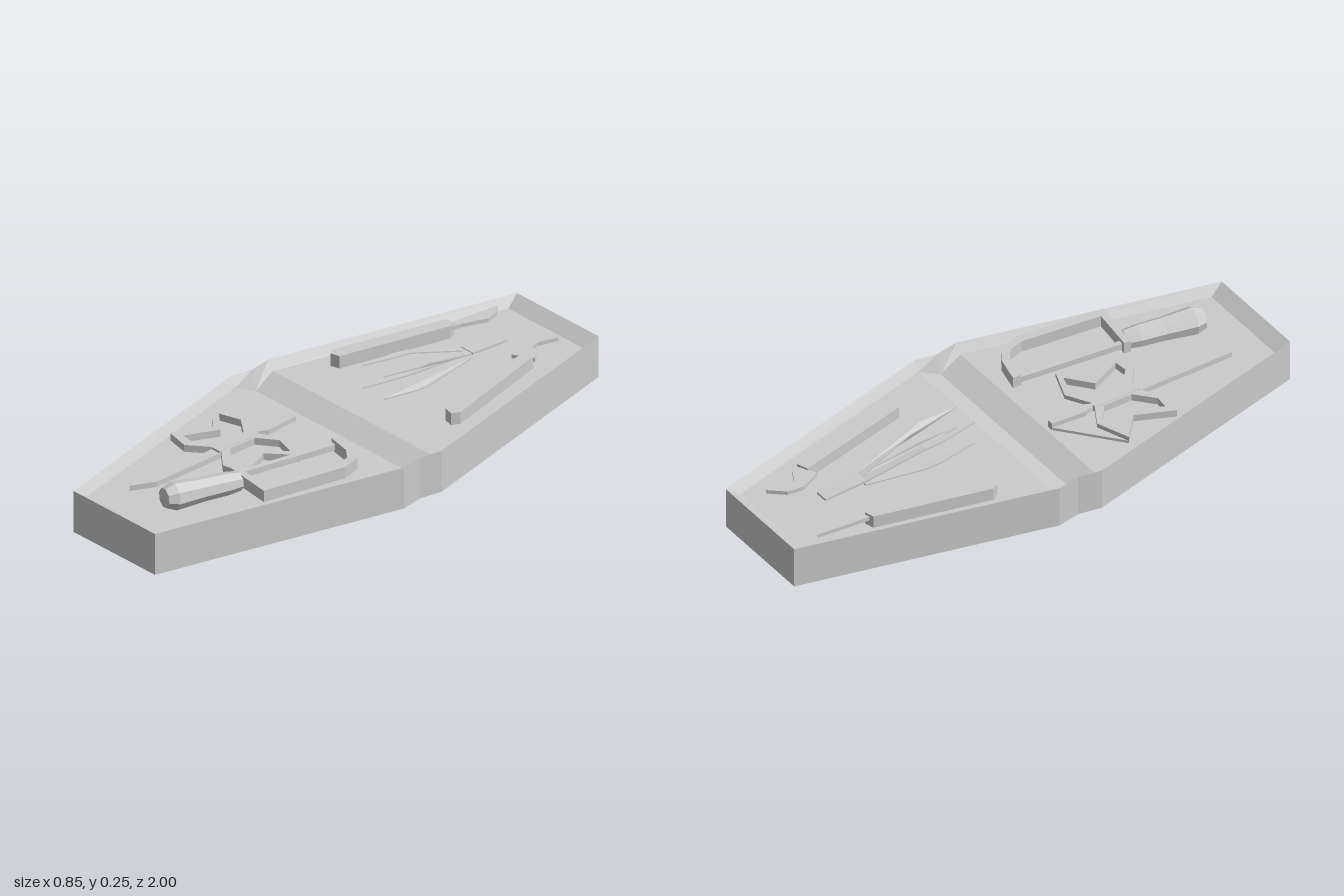
import * as THREE from 'three';

const material = new THREE.MeshStandardMaterial({ color: 0xcccccc, flatShading: true, side: THREE.DoubleSide });
const FLOOR = 0.12;

function addMesh(parent, name, geometry) {
  const mesh = new THREE.Mesh(geometry, material);
  mesh.name = name;
  parent.add(mesh);
  return mesh;
}

// Upright prism over an outline of [x, z] points; lift(z) bends it upwards
function prism(parent, name, points, y, height, { hole, lift } = {}) {
  const toVectors = (list) => list.map(([x, z]) => new THREE.Vector2(x, -z));
  const shape = new THREE.Shape(toVectors(points));
  if (hole) shape.holes.push(new THREE.Path(toVectors(hole)));
  const geometry = new THREE.ExtrudeGeometry(shape, { depth: height, bevelEnabled: false });
  geometry.rotateX(-Math.PI / 2).translate(0, y, 0);
  if (lift) {
    const p = geometry.attributes.position;
    for (let i = 0; i < p.count; i++) p.setY(i, p.getY(i) + lift(p.getZ(i)));
    geometry.computeVertexNormals();
  }
  return addMesh(parent, name, geometry);
}

const mirrorAt = (points, cx) => points.map(([x, z]) => [2 * cx - x, z]);

// Piecewise linear height along z
const ramp = (knots) => (z) => {
  for (let i = 1; i < knots.length; i++) {
    const [z0, y0] = knots[i - 1], [z1, y1] = knots[i];
    if (z <= z1 || i === knots.length - 1) {
      return y0 + (y1 - y0) * THREE.MathUtils.clamp((z - z0) / (z1 - z0), 0, 1);
    }
  }
};

// Coffin-shaped tray: outer walls, sloped inner walls, floor with a V valley
function trayGeometry() {
  const rimSide = [[0.2, 1], [0.425, 0.085], [0.41, 0], [0.425, -0.085], [0.2, -1]];
  const floorSide = [[0.188, FLOOR, 0.95], [0.403, FLOOR, 0.085], [0.393, 0.08, 0],
    [0.403, FLOOR, -0.085], [0.188, FLOOR, -0.95]];
  const around = (side) => [...side, ...side.map(([x, y, z]) => [-x, y, z]).reverse()];
  const bottom = around(rimSide.map(([x, z]) => [x, 0, z]));
  const rim = around(rimSide.map(([x, z]) => [x, 0.155, z]));
  const floor = around(floorSide);
  const out = [];
  const quad = (a, b, c, d) => out.push(...a, ...b, ...c, ...a, ...c, ...d);
  for (let i = 0; i < 10; i++) {
    const j = (i + 1) % 10;
    quad(bottom[i], bottom[j], rim[j], rim[i]);
    quad(rim[i], rim[j], floor[j], floor[i]);
  }
  for (let i = 0; i < 4; i++) {
    quad(floor[i], floor[i + 1], floor[8 - i], floor[9 - i]);
    quad(bottom[9 - i], bottom[8 - i], bottom[i + 1], bottom[i]);
  }
  const geometry = new THREE.BufferGeometry();
  geometry.setAttribute('position', new THREE.Float32BufferAttribute(out, 3));
  geometry.computeVertexNormals();
  return geometry;
}

function scalpel() {
  const g = new THREE.Group();
  g.name = 'scalpel';
  prism(g, 'scalpelHandle', [[-0.315, -0.275], [-0.3, -0.25], [-0.265, -0.26], [-0.168, -0.67],
    [-0.18, -0.7], [-0.215, -0.69]], FLOOR, 0.047);
  prism(g, 'scalpelBlade', [[-0.2, -0.68], [-0.18, -0.895], [-0.148, -0.86], [-0.135, -0.81],
    [-0.168, -0.72], [-0.175, -0.68]], 0.143, 0.014);
  return g;
}

function hookKnife() {
  const g = new THREE.Group();
  g.name = 'hookKnife';
  prism(g, 'hookHandle', [[0.128, -0.72], [0.168, -0.735], [0.285, -0.3], [0.27, -0.27], [0.232, -0.28]],
    FLOOR, 0.045);
  prism(g, 'hookBlade', [[0.118, -0.895], [0.07, -0.84], [0.062, -0.78], [0.1, -0.7], [0.135, -0.72],
    [0.17, -0.74], [0.15, -0.765], [0.105, -0.79], [0.097, -0.82]], 0.143, 0.014);
  return g;
}

// Four-pronged forceps: one pair springs up, one pair lies low
function forceps() {
  const g = new THREE.Group();
  g.name = 'forceps';
  const cx = -0.012;
  const high = ramp([[-0.76, 0.148], [-0.6, 0.16], [-0.38, 0.22], [-0.18, 0.24]]);
  const low = ramp([[-0.76, 0.148], [-0.6, 0.146], [-0.38, 0.138], [-0.18, 0.155]]);
  prism(g, 'forcepsStem', [[-0.036, -0.76], [0.014, -0.76], [0.018, -0.6], [-0.04, -0.6]], 0, 0.008,
    { lift: high });
  const arm = [[-0.04, -0.6], [-0.012, -0.6], [-0.046, -0.38], [-0.05, -0.32],
    [-0.064, -0.18], [-0.078, -0.32], [-0.072, -0.38]];
  for (const outline of [arm, mirrorAt(arm, cx)]) {
    prism(g, 'upperArm', outline, 0, 0.005, { lift: high });
    prism(g, 'lowerArm', outline, 0, 0.005, { lift: low });
  }
  return g;
}

// Blade with a pair of open wing-shaped grips
function wingedBlade() {
  const g = new THREE.Group();
  g.name = 'wingedBlade';
  const cx = -0.1;
  const wing = [[-0.115, 0.27], [-0.195, 0.225], [-0.315, 0.27], [-0.225, 0.35], [-0.285, 0.485],
    [-0.195, 0.505], [-0.115, 0.44]];
  const gap = [[-0.127, 0.3], [-0.195, 0.25], [-0.275, 0.275], [-0.19, 0.345], [-0.245, 0.465],
    [-0.195, 0.47], [-0.127, 0.41]];
  const web = [[-0.11, 0.1], [-0.315, 0.27], [-0.195, 0.225], [-0.115, 0.27]];
  for (const side of [(p) => p, (p) => mirrorAt(p, cx)]) {
    prism(g, 'wingGrip', side(wing), FLOOR, 0.026, { hole: side(gap) });
    prism(g, 'wingWeb', side(web), FLOOR, 0.01);
  }
  prism(g, 'topSpike', [[-0.112, 0.1], [-0.088, 0.1], [-0.078, 0.23], [-0.1, 0.28], [-0.122, 0.23]],
    FLOOR, 0.028);
  prism(g, 'bladeBody', [[-0.118, 0.27], [-0.082, 0.27], [-0.082, 0.45], [-0.118, 0.45]], FLOOR, 0.028);
  prism(g, 'longBlade', [[-0.12, 0.44], [-0.08, 0.44], [-0.08, 0.735], [-0.12, 0.82]], FLOOR, 0.02);
  return g;
}

function boneSaw() {
  const g = new THREE.Group();
  g.name = 'boneSaw';
  const lift = (z) => (z - 0.13) * 0.03;
  // C-shaped frame
  prism(g, 'sawFrame', [[0.14, 0.117], [0.24, 0.14], [0.295, 0.175], [0.318, 0.25], [0.268, 0.572],
    [0.07, 0.545], [0.075, 0.52], [0.24, 0.54], [0.285, 0.25], [0.272, 0.2], [0.23, 0.167],
    [0.138, 0.147]], 0.13, 0.043, { lift });
  // Cutting strip
  prism(g, 'sawBlade', [[0.145, 0.13], [0.165, 0.13], [0.107, 0.53], [0.088, 0.53]], 0.138, 0.022, { lift });
  // Eight-sided grip swelling towards the butt
  const profile = [[0, 0], [0.034, 0], [0.04, 0.05], [0.042, 0.14], [0.05, 0.25], [0.036, 0.285], [0, 0.295]];
  const geometry = new THREE.LatheGeometry(profile.map(([r, y]) => new THREE.Vector2(r, y)), 8, Math.PI / 8);
  const grip = addMesh(g, 'sawGrip', geometry);
  grip.position.set(0.122, 0.157, 0.55);
  grip.quaternion.setFromUnitVectors(new THREE.Vector3(0, 1, 0),
    new THREE.Vector3(-0.065, 0.012, 0.28).normalize());
  return g;
}

export function createModel() {
  const model = new THREE.Group();
  model.name = 'coffinToolTray';
  addMesh(model, 'tray', trayGeometry());
  model.add(scalpel(), hookKnife(), forceps(), wingedBlade(), boneSaw());
  return model;
}
